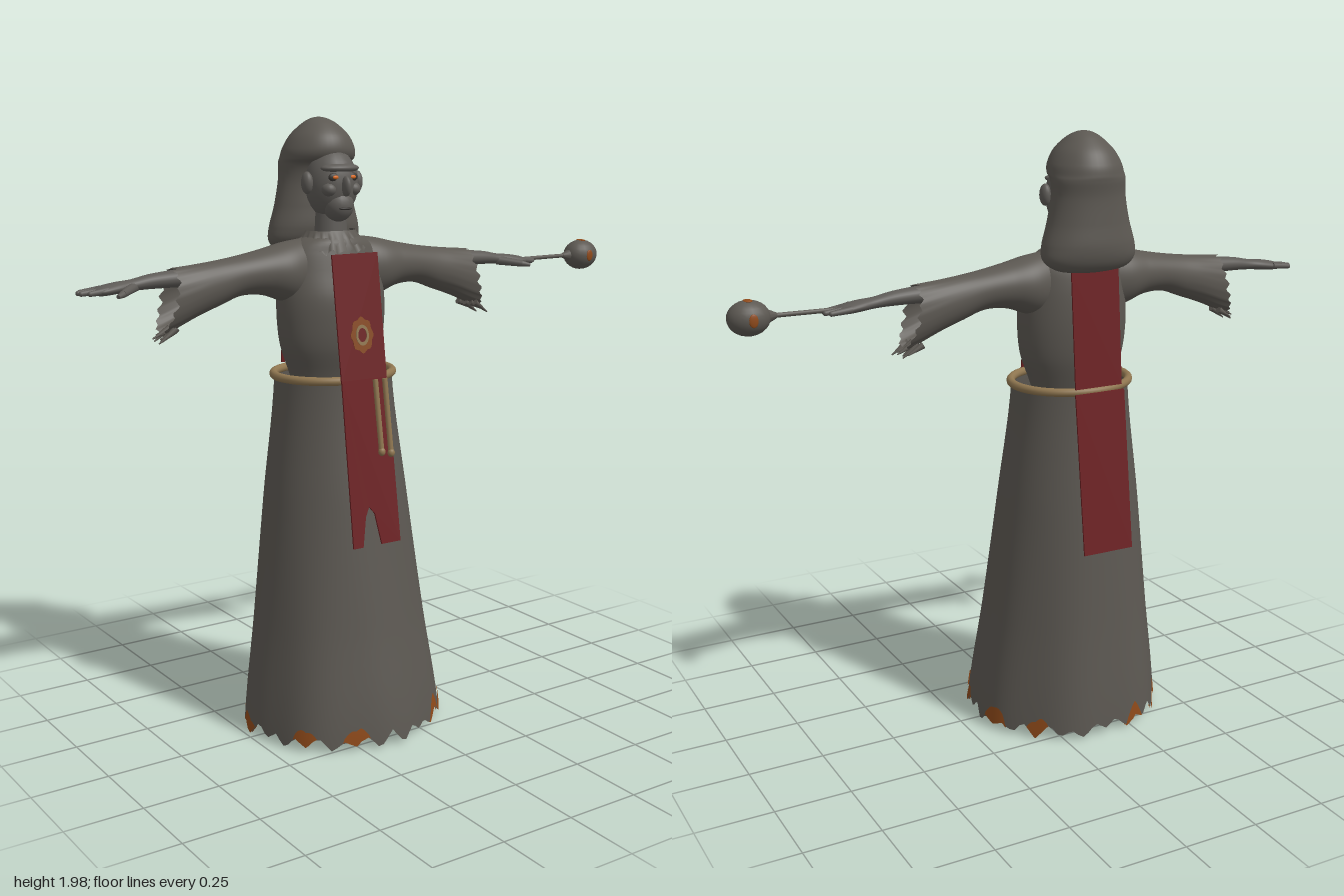
import * as THREE from 'three';
import { ParametricGeometry } from 'three/addons/geometries/ParametricGeometry.js';

const mat = (name, color, side = THREE.FrontSide) => {
  const m = new THREE.MeshStandardMaterial({ color, side });
  m.name = name;
  return m;
};
const CX = -0.147; // body axis in x
const ARM_Z = -0.058;

// Smooth interpolation through rows of numbers
function sample(rows, t) {
  const n = rows.length - 1, f = Math.min(Math.max(t, 0), 1) * n;
  const i = Math.min(Math.floor(f), n - 1), k = f - i;
  const row = (j) => rows[Math.min(Math.max(j, 0), n)];
  return row(i).map((b, c) => {
    const a = row(i - 1)[c], d = row(i + 1)[c], e = row(i + 2)[c];
    return b + 0.5 * k * (d - a + k * (2 * a - 5 * b + 4 * d - e + k * (3 * (b - d) + e - a)));
  });
}

// Irregular ragged edge, 0..1
const ragged = (a, n) => {
  const saw = (x) => Math.abs(((x % 1) + 1) % 1 - 0.5) * 2;
  return 0.6 * saw(a * n / 6.2832) + 0.4 * saw(a * (n * 0.5 + 1.5) / 6.2832 + 0.3 * Math.sin(a * 3));
};

// Upright body form from rows [y, half width, front z, back z]
const upright = (rows, slices = 40, stacks = 36) => new ParametricGeometry((u, v, p) => {
  const [y, rx, zf, zb] = sample(rows, v), a = u * Math.PI * 2;
  p.set(CX + rx * Math.sin(a), y, (zf + zb) / 2 + Math.cos(a) * (zf - zb) / 2);
}, slices, stacks);

// Sideways limb from rows [distance, top y, bottom y, half depth]
const limb = (rows, s, edge = null, slices = 28, stacks = 28) => new ParametricGeometry((u, v, p) => {
  const [d, yt, yb, hz] = sample(rows, v), a = u * Math.PI * 2;
  const low = (1 - Math.cos(a)) / 2;
  const out = edge ? Math.pow(v, 6) * edge(a, low) : 0;
  p.set(CX + s * (d + out), (yt + yb) / 2 + Math.cos(a) * (yt - yb) / 2, ARM_Z + s * Math.sin(a) * hz);
}, slices, stacks);

// Robe surface
const SKIRT = [[0, 0.335, 0.31, -0.312], [0.4, 0.287, 0.249, -0.281], [0.79, 0.241, 0.193, -0.25], [1.185, 0.195, 0.142, -0.215]];
const hem = (a) => 0.01 + 0.055 * ragged(a, 25);
function skirtPoint(a, y, off, p) {
  const [, rx, zf, zb] = sample(SKIRT, y / 1.185);
  const w = 1 + 0.018 * Math.sin(a * 7 + 1) * Math.max(0, 1 - y / 0.8);
  p.set(CX + (rx * w + off) * Math.sin(a), y, (zf + zb) / 2 + Math.cos(a) * ((zf - zb) / 2 * w + off));
}

export function createModel() {
  const g = new THREE.Group();
  const cloth = mat('charcoal cloth', 0x5c5852, THREE.DoubleSide);
  const skin = mat('ashen skin', 0x5e5b57);
  const dark = mat('dark socket', 0x393633);
  const red = mat('dark red cloth', 0x6c2022);
  const rope = mat('tan rope', 0x8f7650);
  const ember = mat('burnt orange', 0x8f4a1a, THREE.DoubleSide);
  const gold = mat('emblem brown', 0x874a22);
  const glow = mat('eye orange', 0xd8691e);

  const add = (name, geo, m, x = 0, y = 0, z = 0) => {
    const mesh = new THREE.Mesh(geo, m);
    mesh.name = name;
    mesh.position.set(x, y, z);
    g.add(mesh);
    return mesh;
  };
  const blob = (name, m, x, y, z, rx, ry, rz) => {
    const b = add(name, new THREE.SphereGeometry(1, 20, 14), m, x, y, z);
    b.scale.set(rx, ry, rz);
    return b;
  };
  const rod = (name, m, a, b, r0, r1 = r0) => {
    const A = new THREE.Vector3(...a), B = new THREE.Vector3(...b), dir = B.clone().sub(A);
    const r = add(name, new THREE.CylinderGeometry(r1, r0, dir.length(), 10), m);
    r.position.copy(A).add(B).multiplyScalar(0.5);
    r.quaternion.setFromUnitVectors(new THREE.Vector3(0, 1, 0), dir.normalize());
    return r;
  };

  // Long open robe with a torn hem and scorched patches
  add('skirt', new ParametricGeometry((u, v, p) => {
    const a = u * Math.PI * 2, h = hem(a);
    skirtPoint(a, h + (1.185 - h) * v, 0, p);
  }, 120, 20), cloth);
  for (const [a, w, h] of [[-0.9, 0.13, 0.05], [-0.38, 0.14, 0.05], [0.72, 0.12, 0.05], [0.95, 0.13, 0.06],
    [1.2, 0.1, 0.05], [1.9, 0.16, 0.06], [2.4, 0.12, 0.06], [3.5, 0.12, 0.05], [4.0, 0.14, 0.06], [4.6, 0.13, 0.05]]) {
    for (const off of [0.004, -0.004]) {
      add('scorchedPatch', new ParametricGeometry((u, v, p) => {
        const t = a + (u * 2 - 1) * w, h0 = hem(t);
        skirtPoint(t, h0 + v * h * Math.sin(Math.PI * u), off, p);
      }, 16, 4), ember);
    }
  }

  // Torso, ragged collar and neck
  add('torso', upright([[1.15, 0.135, 0.04, -0.14], [1.2, 0.15, 0.055, -0.155], [1.28, 0.177, 0.08, -0.175],
    [1.36, 0.187, 0.088, -0.183], [1.44, 0.187, 0.085, -0.183], [1.52, 0.178, 0.062, -0.175],
    [1.58, 0.16, 0.045, -0.16], [1.615, 0.12, 0.035, -0.13], [1.64, 0.06, 0.01, -0.1]]), cloth);
  add('collar', new ParametricGeometry((u, v, p) => {
    const a = u * Math.PI * 2, r = 0.13 - 0.045 * v;
    p.set(CX + r * Math.sin(a), 1.595 + v * 0.05 - (1 - v) * 0.025 * ragged(a, 22), -0.05 + r * 0.8 * Math.cos(a));
  }, 66, 3), cloth);
  add('neck', new THREE.CylinderGeometry(0.05, 0.058, 0.12, 20), skin, CX, 1.665, -0.05);

  // Draped hood, bulging at the back
  add('hood', upright([[1.565, 0.05, -0.15, -0.19], [1.575, 0.12, -0.12, -0.215], [1.605, 0.16, -0.07, -0.235],
    [1.65, 0.16, -0.05, -0.243], [1.72, 0.14, -0.05, -0.238], [1.8, 0.124, -0.052, -0.235], [1.85, 0.123, -0.04, -0.24],
    [1.87, 0.122, -0.008, -0.24], [1.9, 0.115, 0.002, -0.233], [1.94, 0.092, -0.012, -0.21],
    [1.975, 0.056, -0.05, -0.17], [1.992, 0.026, -0.085, -0.14], [1.997, 0.002, -0.11, -0.114]], 40, 60), cloth);

  // Gaunt face
  blob('head', skin, CX, 1.79, -0.04, 0.086, 0.112, 0.084);
  blob('jaw', skin, CX, 1.725, 0.0, 0.05, 0.052, 0.048);
  blob('mouth', dark, CX, 1.716, 0.043, 0.024, 0.005, 0.008);
  blob('nose', skin, CX, 1.785, 0.046, 0.013, 0.032, 0.022);
  blob('brow', skin, CX, 1.84, 0.01, 0.068, 0.016, 0.035);
  for (const s of [-1, 1]) {
    blob('cheekbone', skin, CX + s * 0.045, 1.775, 0.015, 0.024, 0.022, 0.026);
    blob('eyeSocket', dark, CX + s * 0.032, 1.813, 0.029, 0.022, 0.014, 0.009);
    blob('eye', glow, CX + s * 0.032, 1.813, 0.036, 0.011, 0.006, 0.005);
    blob('ear', skin, CX + s * 0.093, 1.795, -0.035, 0.018, 0.035, 0.022);
  }

  // Arms, with hanging torn sleeves and thin hands
  for (const s of [-1, 1]) {
    const at = (d, y, z) => [CX + s * d, y, z];
    add('sleeve', limb([[0.08, 1.625, 1.41, 0.07], [0.17, 1.613, 1.425, 0.085], [0.25, 1.595, 1.452, 0.074],
      [0.33, 1.58, 1.455, 0.064], [0.4, 1.57, 1.43, 0.06], [0.47, 1.562, 1.4, 0.06], [0.545, 1.555, 1.355, 0.058]],
    s, (a, low) => 0.05 * low * low + 0.022 * ragged(a, 17), 68, 30), cloth);
    for (let i = 0; i < 6; i++) {
      const z = ARM_Z + (i - 2.5) * 0.014;
      rod('sleeveShred', cloth, at(0.55 + 0.01 * (i % 3), 1.372, z), at(0.6 + 0.012 * (i % 3), 1.345 - 0.01 * (i % 2), z), 0.011, 0.002);
    }
    add('forearm', limb([[0.4, 1.55, 1.49, 0.03], [0.5, 1.552, 1.495, 0.034], [0.62, 1.543, 1.497, 0.028],
      [0.69, 1.53, 1.495, 0.025], [0.74, 1.525, 1.49, 0.034], [0.79, 1.516, 1.487, 0.036], [0.815, 1.506, 1.494, 0.02]], s), skin);
    for (let i = 0; i < 4; i++) {
      const z = ARM_Z - 0.03 + i * 0.018, end = [0.84, 0.852, 0.85, 0.83][i];
      rod('finger', skin, at(0.775, 1.504, z), at(end, 1.498, z - 0.002), 0.011, 0.008);
      blob('fingertip', skin, ...at(end, 1.498, z - 0.002), 0.008, 0.008, 0.008);
    }
    rod('thumb', skin, at(0.685, 1.508, -0.05), at(0.75, 1.497, 0.012), 0.016, 0.011);
    rod('thumbEnd', skin, at(0.748, 1.497, 0.01), at(0.772, 1.492, 0.028), 0.011, 0.006);
    // Shoe under the robe
    const toe = blob('shoeToe', cloth, CX + s * 0.1, 0.045, 0.06, 0.042, 0.03, 0.07);
    const heel = blob('shoeHeel', cloth, CX + s * 0.08, 0.05, -0.04, 0.034, 0.036, 0.062);
    toe.rotation.y = heel.rotation.y = s * 0.25;
  }

  // Wand with a charred ball, held in the left hand
  rod('wand', cloth, [0.58, 1.503, -0.06], [0.88, 1.505, -0.06], 0.007);
  rod('wandSocket', cloth, [0.85, 1.505, -0.06], [0.885, 1.505, -0.06], 0.008, 0.025);
  blob('charredBall', cloth, 0.935, 1.505, -0.06, 0.065, 0.053, 0.053);
  for (const [y, z] of [[0, 0.0505], [0.0505, 0], [0, -0.0505]]) {
    blob('glowingCrack', ember, 0.935, 1.505 + y, -0.06 + z, 0.014, y ? 0.004 : 0.02, z ? 0.004 : 0.02);
  }

  // Hanging cloth panels: an outline leaned between two depths
  const lean = (name, shape, m, yTop, zTop, yBot, zBot, depth = 0.006, lift = 0) => {
    const geo = new THREE.ExtrudeGeometry(shape, { depth, bevelEnabled: false, curveSegments: 24 });
    const p = geo.attributes.position;
    for (let i = 0; i < p.count; i++) {
      p.setZ(i, p.getZ(i) + lift + zTop + (zBot - zTop) * (yTop - p.getY(i)) / (yTop - yBot));
    }
    geo.computeVertexNormals();
    return add(name, geo, m);
  };
  const outline = (pts) => new THREE.Shape(pts.map((q) => new THREE.Vector2(...q)));
  const quad = (x0, x1, y0, y1) => outline([[x0, y0], [x1, y0], [x1, y1], [x0, y1]]);
  lean('frontUpperPanel', quad(-0.235, -0.065, 1.185, 1.58), red, 1.58, 0.093, 1.185, 0.146);
  lean('frontLowerPanel', outline([[-0.235, 1.19], [-0.239, 0.665], [-0.203, 0.665], [-0.185, 0.76], [-0.17, 0.79],
    [-0.15, 0.765], [-0.132, 0.665], [-0.06, 0.665], [-0.065, 1.19]]), red, 1.19, 0.147, 0.665, 0.218);
  lean('backUpperPanel', quad(-0.235, -0.065, 1.2, 1.57), red, 1.57, -0.188, 1.2, -0.221);
  lean('backLowerPanel', quad(-0.239, -0.06, 0.665, 1.185), red, 1.185, -0.23, 0.665, -0.298);

  // Round scalloped ornament on the chest panel
  const ring = (rOut, rIn, wave) => {
    const loop = (r, w) => Array.from({ length: 48 }, (_, i) => {
      const a = i / 48 * Math.PI * 2, q = r + w * Math.cos(8 * a);
      return new THREE.Vector2(CX + q * 0.85 * Math.cos(a), 1.328 + q * 1.15 * Math.sin(a));
    });
    const shape = new THREE.Shape(loop(rOut, wave));
    shape.holes.push(new THREE.Path(loop(rIn, 0)));
    return shape;
  };
  lean('chestOrnament', ring(0.047, 0.02, 0.003), gold, 1.58, 0.093, 1.185, 0.146, 0.003, 0.005);
  lean('chestOrnamentRim', ring(0.028, 0.019, 0), rope, 1.58, 0.093, 1.185, 0.146, 0.003, 0.007);

  // Rope belt with two hanging ends
  const belt = add('belt', new THREE.TorusGeometry(0.199, 0.014, 12, 64).rotateX(Math.PI / 2), rope, CX, 1.187, -0.037);
  belt.scale.z = 0.885;
  for (const [x, y] of [[-0.113, 0.95], [-0.077, 0.942]]) {
    rod('ropeEnd', rope, [x, 1.187, 0.157], [x + 0.003, y, 0.19], 0.009);
    blob('ropeKnot', rope, x + 0.003, y + 0.008, 0.19, 0.012, 0.014, 0.011);
  }
  return g;
}
